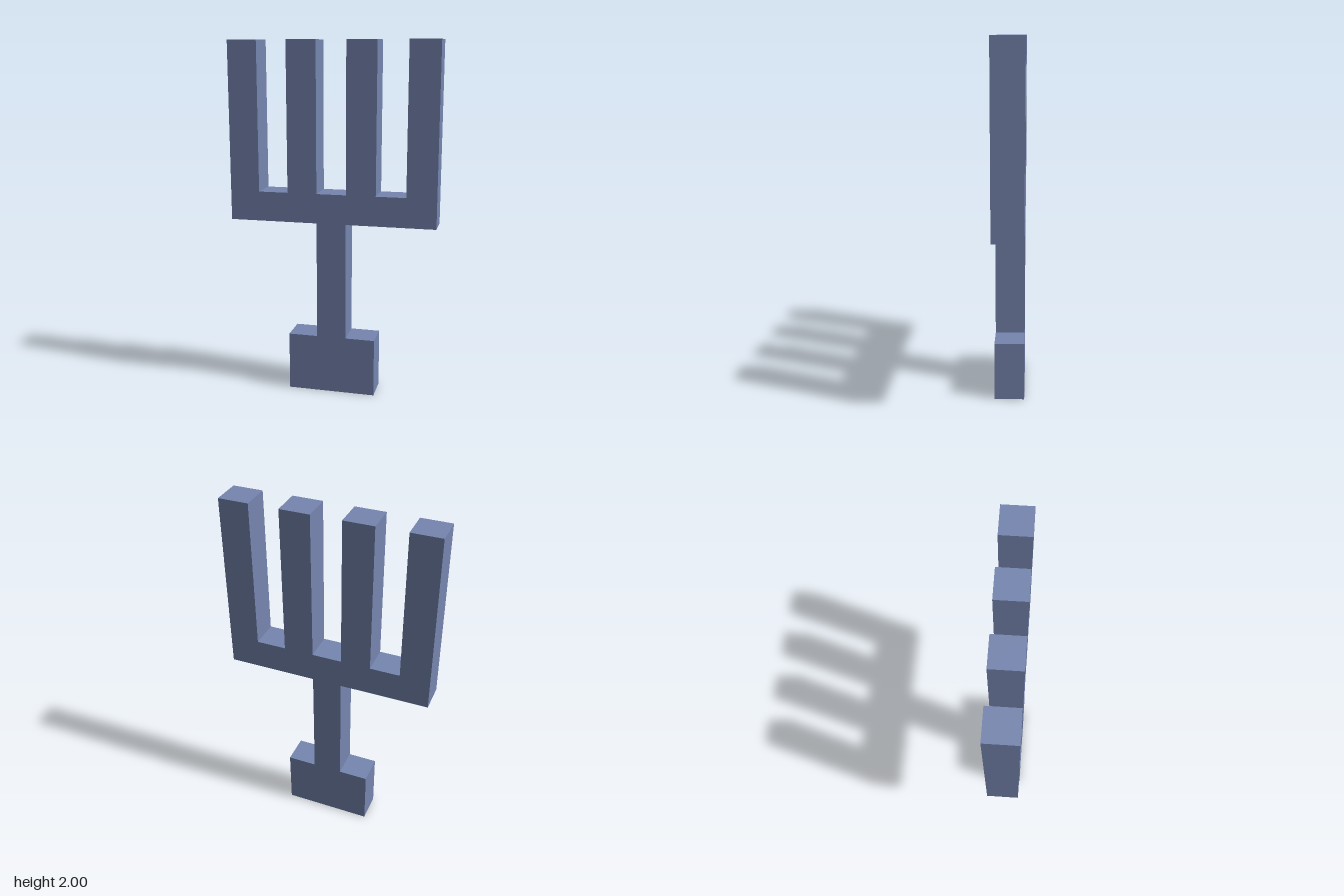
import * as THREE from 'three';

const U = 1 / 6; // everything sits on a grid of sixths

export function createModel() {
  const group = new THREE.Group();
  group.name = 'fork';
  const blue = new THREE.MeshStandardMaterial({ color: 0x7686b0 });
  blue.name = 'slateBlue';

  // Right side of the grip and neck, up to the head
  const outline = [[-1.5, 0], [1.5, 0], [1.5, 2], [0.5, 2], [0.5, 6], [3.5, 6]];

  // Four tines, right to left, with a gap floor after each but the last
  for (let i = 0; i < 4; i++) {
    const right = 3.5 - 2 * i;
    outline.push([right, 12], [right - 1, 12]);
    if (i < 3) outline.push([right - 1, 7], [right - 2, 7]);
  }

  // Left side of the head, neck and grip
  outline.push([-3.5, 6], [-0.5, 6], [-0.5, 2], [-1.5, 2]);

  const shape = new THREE.Shape(outline.map(([x, y]) => new THREE.Vector2(x * U, y * U)));
  const geometry = new THREE.ExtrudeGeometry(shape, { depth: U, bevelEnabled: false });
  geometry.translate(0, 0, -U / 2);

  const body = new THREE.Mesh(geometry, blue);
  body.name = 'forkBody';
  group.add(body);
  return group;
}
